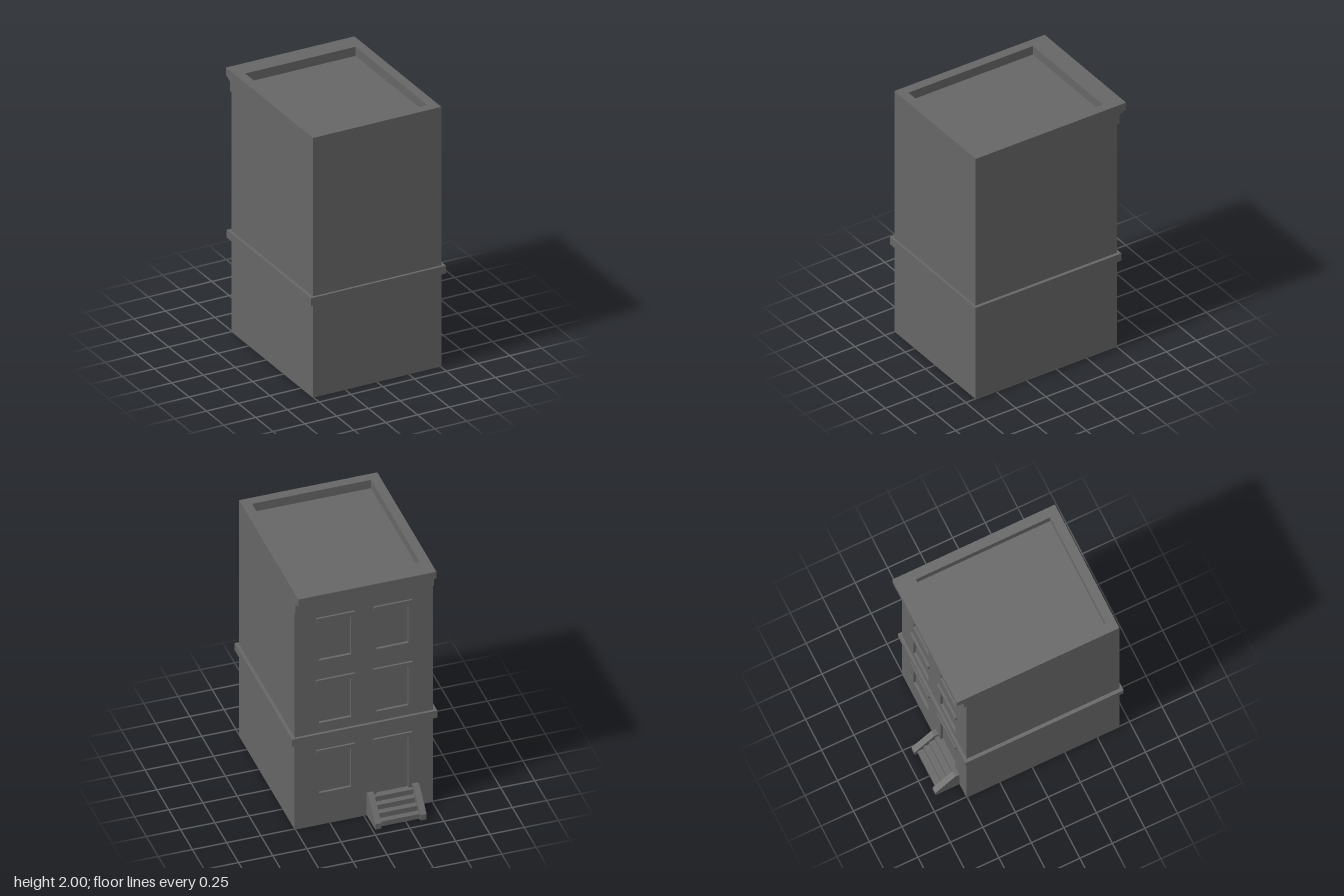
import * as THREE from 'three';

const stone = new THREE.MeshStandardMaterial({ color: 0x666666, flatShading: true, side: THREE.DoubleSide });
const stepStone = new THREE.MeshStandardMaterial({ color: 0x666666, flatShading: true });

const HX = 0.505, BACK = -0.505, FRONT = 0.67, TOP = 2;
const REVEAL = 0.02, OPENING = 0.234;

export function createModel() {
  const model = new THREE.Group();
  model.name = 'townhouse';

  const add = (geometry, name, x = 0, y = 0, z = 0, material = stone) => {
    const mesh = new THREE.Mesh(geometry, material);
    mesh.name = name;
    mesh.position.set(x, y, z);
    model.add(mesh);
  };

  // Skin through rectangular rings, each given as [inset in x, height, inset in z]
  const loftRings = (rings, openBack = false, capped = false) => {
    const corners = rings.map(([inset, y, insetZ = inset]) => {
      const x = HX - inset, f = FRONT - insetZ, b = BACK + insetZ;
      return [[-x, y, f], [x, y, f], [x, y, b], [-x, y, b]];
    });
    const pos = [];
    const quad = (a, b, c, d) => pos.push(...a, ...b, ...c, ...a, ...c, ...d);
    for (let r = 0; r < corners.length - 1; r++) {
      for (let i = 0; i < 4; i++) {
        if (openBack && r === 0 && i === 2) continue;
        const j = (i + 1) % 4;
        quad(corners[r][i], corners[r][j], corners[r + 1][j], corners[r + 1][i]);
      }
    }
    if (capped) quad(...corners[corners.length - 1]);
    const g = new THREE.BufferGeometry();
    g.setAttribute('position', new THREE.Float32BufferAttribute(pos, 3));
    g.computeVertexNormals();
    return g;
  };

  // Profile in z and y, extruded across x
  const extrudeAcross = (points, x0, x1) => {
    const shape = new THREE.Shape(points.map(([z, y]) => new THREE.Vector2(z, y)));
    return new THREE.ExtrudeGeometry(shape, { depth: x1 - x0, bevelEnabled: false })
      .rotateY(-Math.PI / 2).translate(x1, 0, 0);
  };

  // Side and front walls, parapet and sunken roof; open underneath
  add(loftRings([[0, 0], [0, TOP], [0.071, TOP], [0.071, TOP - 0.07]], true, true), 'wallsAndRoof');

  // Openings in the back wall: [centre x, bottom, top, name]
  const openings = [[-0.21, 0.16, 0.6, 'door'], [0.21, 0.265, 0.6, 'window']];
  for (const [bottom, top] of [[0.86, 1.195], [1.39, 1.72]]) {
    for (const x of [-0.21, 0.21]) openings.push([x, bottom, top, 'window']);
  }

  // Thin back wall with cut openings
  const rectangle = (Type, x0, x1, y0, y1) => new Type([
    new THREE.Vector2(x0, y0), new THREE.Vector2(x1, y0),
    new THREE.Vector2(x1, y1), new THREE.Vector2(x0, y1),
  ]);
  const wall = rectangle(THREE.Shape, -HX, HX, 0, TOP);
  for (const [x, bottom, top] of openings) {
    wall.holes.push(rectangle(THREE.Path, -x - OPENING / 2, -x + OPENING / 2, bottom, top));
  }
  add(new THREE.ShapeGeometry(wall).rotateY(Math.PI), 'backWall', 0, 0, BACK);

  // Reveals, recessed panes and the lintels above them
  for (const [x, bottom, top, name] of openings) {
    const height = top - bottom, y = (bottom + top) / 2;
    const reveal = new THREE.CylinderGeometry(Math.SQRT1_2, Math.SQRT1_2, 1, 4, 1, true)
      .rotateY(Math.PI / 4).rotateX(Math.PI / 2).scale(OPENING, height, REVEAL);
    add(reveal, name + 'Reveal', x, y, BACK + REVEAL / 2);
    add(new THREE.PlaneGeometry(OPENING, height).rotateY(Math.PI), name + 'Pane', x, y, BACK + REVEAL);
    add(new THREE.BoxGeometry(0.282, 0.037, 0.025), name + 'Lintel', x, top + 0.0185, BACK - 0.0025);
  }

  // Belt course: a hollow frame that also projects inside the walls
  add(loftRings([
    [-0.025, 0.72, -0.02], [-0.025, 0.78, -0.02], [0.09, 0.78], [0.09, 0.72], [-0.025, 0.72, -0.02],
  ]), 'beltCourse');

  // Cornice along the top of the back wall
  add(extrudeAcross([
    [BACK, TOP], [-0.58, TOP], [-0.58, 1.943], [-0.526, 1.917], [-0.526, 1.843], [BACK, 1.843],
  ], -HX, HX), 'cornice');

  // Sloping stair cheeks
  for (const x of [-0.395, -0.065]) {
    add(extrudeAcross([
      [BACK, 0], [BACK, 0.19], [-0.538, 0.19], [-0.69, 0.045], [-0.69, 0],
    ], x, x + 0.045), 'stairCheek');
  }

  // Stair treads and risers, open underneath
  const STEPS = 4, RISE = 0.04, RUN = 0.044, WIDTH = 0.285, STAIR_X = -0.2075;
  for (let i = 0; i < STEPS; i++) {
    const z = -0.666 + i * RUN;
    const depth = i === STEPS - 1 ? BACK - z : RUN;
    const riser = new THREE.PlaneGeometry(WIDTH, RISE).rotateY(Math.PI);
    const tread = new THREE.PlaneGeometry(WIDTH, depth).rotateX(-Math.PI / 2);
    add(riser, 'riser', STAIR_X, (i + 0.5) * RISE, z, stepStone);
    add(tread, 'tread', STAIR_X, (i + 1) * RISE, z + depth / 2, stepStone);
  }

  return model;
}
